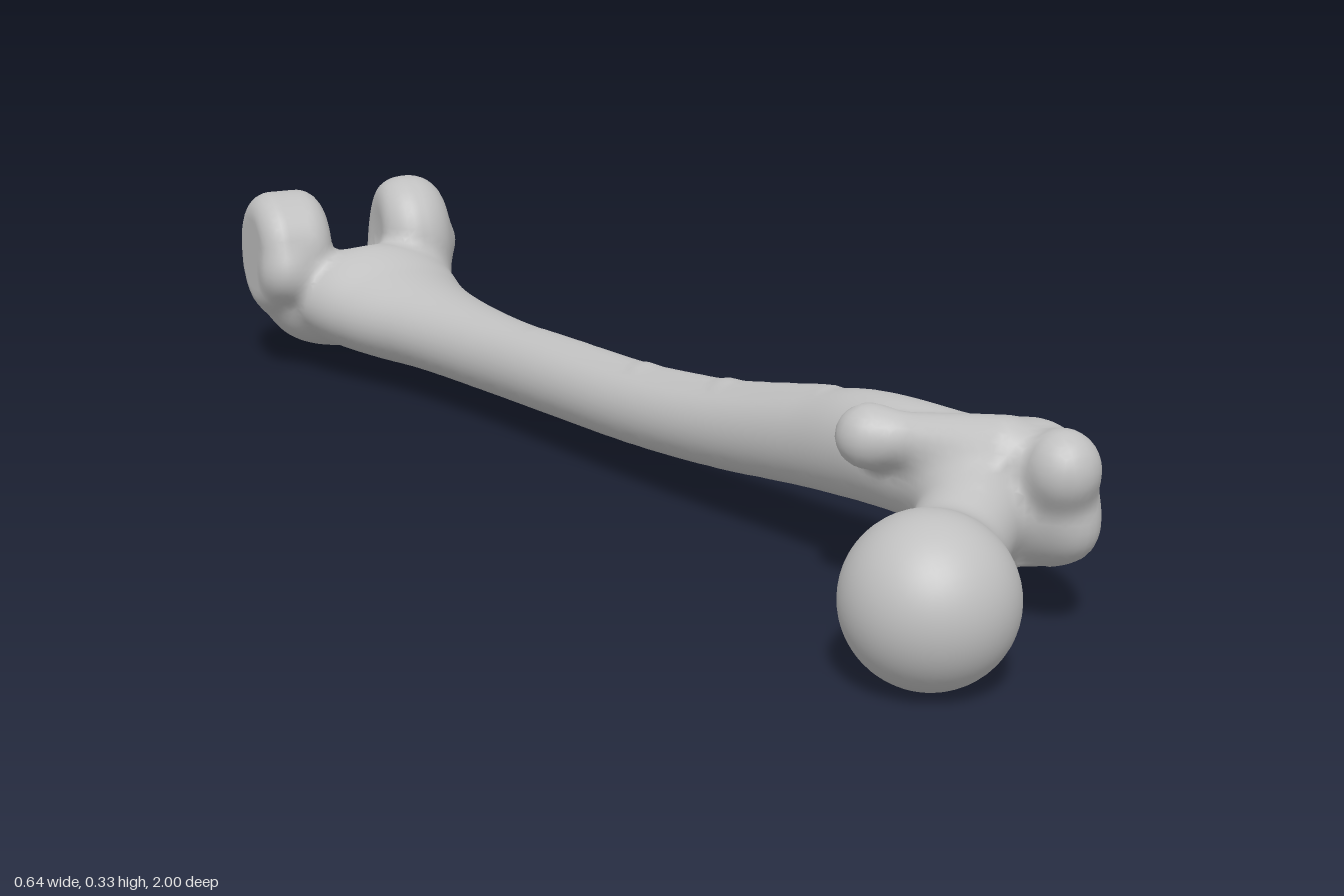
import * as THREE from 'three';
import { mergeVertices } from 'three/addons/utils/BufferGeometryUtils.js';

// ---- distance rules for the rounded masses of the bone ----
const ellipse = (a, b, ra, rb) => {
  const k1 = Math.hypot(a / (ra * ra), b / (rb * rb));
  const k0 = Math.hypot(a / ra, b / rb);
  return k1 < 1e-6 ? -Math.min(ra, rb) : (k0 * (k0 - 1)) / k1;
};

const ellipsoid = ([cx, cy, cz], [rx, ry, rz]) => (x, y, z) => {
  const a = (x - cx) / rx, b = (y - cy) / ry, c = (z - cz) / rz;
  const k1 = Math.hypot(a / rx, b / ry, c / rz);
  const k0 = Math.hypot(a, b, c);
  return k1 < 1e-6 ? -Math.min(rx, ry, rz) : (k0 * (k0 - 1)) / k1;
};

const ball = (c, r) => ellipsoid(c, [r, r, r]);

// Tapered rod with round ends
const rod = (a, b, ra, rb) => {
  const d = b.map((v, i) => v - a[i]);
  const len2 = d[0] * d[0] + d[1] * d[1] + d[2] * d[2];
  return (x, y, z) => {
    const px = x - a[0], py = y - a[1], pz = z - a[2];
    const t = THREE.MathUtils.clamp((px * d[0] + py * d[1] + pz * d[2]) / len2, 0, 1);
    return Math.hypot(px - t * d[0], py - t * d[1], pz - t * d[2]) - ra - t * (rb - ra);
  };
};

// Rounded elliptical wheel with its axle along x
const wheel = ([cx, cy, cz], [hx, ry, rz], r) => (x, y, z) => {
  const p = ellipse(y - cy, z - cz, ry, rz) + r;
  const q = Math.abs(x - cx) - hx + r;
  return Math.min(Math.max(p, q), 0) + Math.hypot(Math.max(p, 0), Math.max(q, 0)) - r;
};

// Loft of ellipses along z; each station is z, xMin, xMax, yMin, yMax
const loft = (stations) => {
  const curve = new THREE.CubicInterpolant(
    stations.map((s) => s[0]), stations.flatMap((s) => s.slice(1)), 4);
  const first = stations[0][0], last = stations[stations.length - 1][0];
  return (x, y, z) => {
    const [x0, x1, y0, y1] = curve.evaluate(THREE.MathUtils.clamp(z, first, last));
    const d = ellipse(x - (x0 + x1) / 2, y - (y0 + y1) / 2, (x1 - x0) / 2, (y1 - y0) / 2);
    return Math.max(d, z - last, first - z);
  };
};

// ---- the masses: name, blend width, distance rule ----
const shaft = loft([
  [-0.90, -0.27, 0.03, 0.045, 0.21], [-0.79, -0.262, 0.03, 0.042, 0.232],
  [-0.70, -0.22, 0.024, 0.042, 0.205], [-0.60, -0.17, 0.022, 0.045, 0.19],
  [-0.40, -0.105, 0.035, 0.048, 0.18], [-0.20, -0.063, 0.07, 0.053, 0.182],
  [0.00, -0.025, 0.105, 0.06, 0.187], [0.20, 0.015, 0.145, 0.075, 0.207],
  [0.40, 0.055, 0.18, 0.10, 0.247], [0.50, 0.07, 0.20, 0.11, 0.27],
  [0.60, 0.085, 0.235, 0.115, 0.275], [0.70, 0.11, 0.285, 0.105, 0.265],
  [0.78, 0.14, 0.30, 0.095, 0.25],
]);
const ridge = [[-0.012, 0.155, -0.3], [0.04, 0.168, 0], [0.08, 0.19, 0.2], [0.125, 0.235, 0.42]];

const masses = [
  ['shaft', 0.02, shaft],
  ...ridge.slice(1).map((p, i) => ['shaft', 0.02, rod(ridge[i], p, 0.018, 0.018)]),
  ['neck', 0.05, rod([0.03, 0.125, 0.86], [0.19, 0.18, 0.72], 0.06, 0.075)],
  ['head', 0.03, ball([0.005, 0.115, 0.885], 0.115)],
  ['greaterTrochanter', 0.03, ellipsoid([0.25, 0.19, 0.755], [0.066, 0.09, 0.1])],
  ['greaterTrochanter', 0.025, ellipsoid([0.262, 0.15, 0.77], [0.05, 0.06, 0.085])],
  ['greaterTrochanter', 0.02, ellipsoid([0.238, 0.235, 0.825], [0.05, 0.054, 0.052])],
  ['trochanterCrest', 0.025, rod([0.08, 0.245, 0.62], [0.195, 0.246, 0.75], 0.032, 0.045)],
  ['lesserTrochanter', 0.03, ball([0.07, 0.243, 0.615], 0.041)],
  ['rightCondyle', 0.025, wheel([-0.255, 0.214, -0.892], [0.065, 0.111, 0.102], 0.042)],
  ['leftCondyle', 0.025, wheel([-0.02, 0.208, -0.892], [0.065, 0.126, 0.104], 0.06)],
  ['kneecapSurface', 0.025, ellipsoid([-0.175, 0.115, -0.893], [0.115, 0.08, 0.098])],
  ['kneecapSurface', 0.025, ellipsoid([-0.04, 0.125, -0.895], [0.085, 0.085, 0.096])],
  ['rightEpicondyle', 0.03, ball([-0.275, 0.19, -0.82], 0.038)],
  ['leftEpicondyle', 0.03, ball([0.028, 0.215, -0.87], 0.031)],
];
// Hollow between the two condyles
const notch = ellipsoid([-0.134, 0.265, -0.95], [0.056, 0.125, 0.125]);

const blend = (a, b, k) => {
  const h = Math.max(k - Math.abs(a - b), 0) / k;
  return Math.min(a, b) - (h * h * k) / 4;
};
const field = (x, y, z) => {
  let d = 1;
  for (const [, k, f] of masses) d = blend(d, f(x, y, z), k);
  return -blend(-d, notch(x, y, z), 0.025);
};
const gradient = ([x, y, z]) => {
  const e = 0.003;
  return new THREE.Vector3(
    field(x + e, y, z) - field(x - e, y, z),
    field(x, y + e, z) - field(x, y - e, z),
    field(x, y, z + e) - field(x, y, z - e)).divideScalar(2 * e);
};

// ---- skin the blended masses with quads, sorted by the part they lie on ----
function skin() {
  const h = 0.0125, low = [-0.37, -0.04, -1.05], n = [60, 34, 169];
  const stride = [1, n[0], n[0] * n[1]];
  const values = new Float32Array(n[0] * n[1] * n[2]);
  const place = (i, j, k) => [low[0] + i * h, low[1] + j * h, low[2] + k * h];
  const eachCell = (start, fn) => {
    for (let k = start; k < n[2] - 1; k++)
      for (let j = start; j < n[1] - 1; j++)
        for (let i = start; i < n[0] - 1; i++) fn(i, j, k, i + j * stride[1] + k * stride[2]);
  };
  values.fill(1);
  eachCell(0, (i, j, k, id) => { values[id] = field(...place(i, j, k)); });

  // One point per crossed cell, pulled onto the surface
  const cell = new Map(), position = [], normal = [];
  eachCell(0, (i, j, k, id) => {
    const sum = [0, 0, 0];
    let count = 0;
    for (let c = 0; c < 8; c++) for (let a = 0; a < 3; a++) {
      if (c & (1 << a)) continue;
      const o = [c & 1, (c >> 1) & 1, c >> 2];
      const at = id + o[0] + o[1] * stride[1] + o[2] * stride[2];
      const v0 = values[at], v1 = values[at + stride[a]];
      if ((v0 < 0) === (v1 < 0)) continue;
      o[a] += v0 / (v0 - v1);
      o.forEach((v, m) => { sum[m] += v; });
      count++;
    }
    if (!count) return;
    const p = place(i + sum[0] / count, j + sum[1] / count, k + sum[2] / count);
    const g = gradient(p);
    const step = THREE.MathUtils.clamp(field(...p) / Math.max(g.lengthSq(), 0.2), -h / 3, h / 3);
    cell.set(id, position.length / 3);
    position.push(p[0] - g.x * step, p[1] - g.y * step, p[2] - g.z * step);
    normal.push(...g.normalize().toArray());
  });

  // One quad per crossed grid edge
  const faces = {};
  eachCell(1, (i, j, k, id) => {
    for (let a = 0; a < 3; a++) {
      const inside = values[id] < 0;
      if (inside === values[id + stride[a]] < 0) continue;
      const u = stride[(a + 1) % 3], v = stride[(a + 2) % 3];
      const q = [id, id - u, id - u - v, id - v].map((c) => cell.get(c));
      if (!inside) q.reverse();
      const p = position.slice(q[0] * 3, q[0] * 3 + 3);
      let best = Infinity, name = '';
      for (const [part, , f] of masses) {
        const d = f(...p);
        if (d < best) { best = d; name = part; }
      }
      (faces[name] ??= []).push(q[0], q[1], q[2], q[0], q[2], q[3]);
    }
  });
  return { position, normal, faces };
}

export function createModel() {
  const group = new THREE.Group();
  group.name = 'thighBone';
  const bone = new THREE.MeshStandardMaterial({ color: 0xc0c0c0 });
  bone.name = 'bone grey';
  const { position, normal, faces } = skin();
  for (const [name, index] of Object.entries(faces)) {
    const whole = new THREE.BufferGeometry();
    whole.setAttribute('position', new THREE.Float32BufferAttribute(position, 3));
    whole.setAttribute('normal', new THREE.Float32BufferAttribute(normal, 3));
    whole.setIndex(index);
    const mesh = new THREE.Mesh(mergeVertices(whole.toNonIndexed(), 1e-6), bone);
    mesh.name = name;
    group.add(mesh);
  }
  return group;
}
